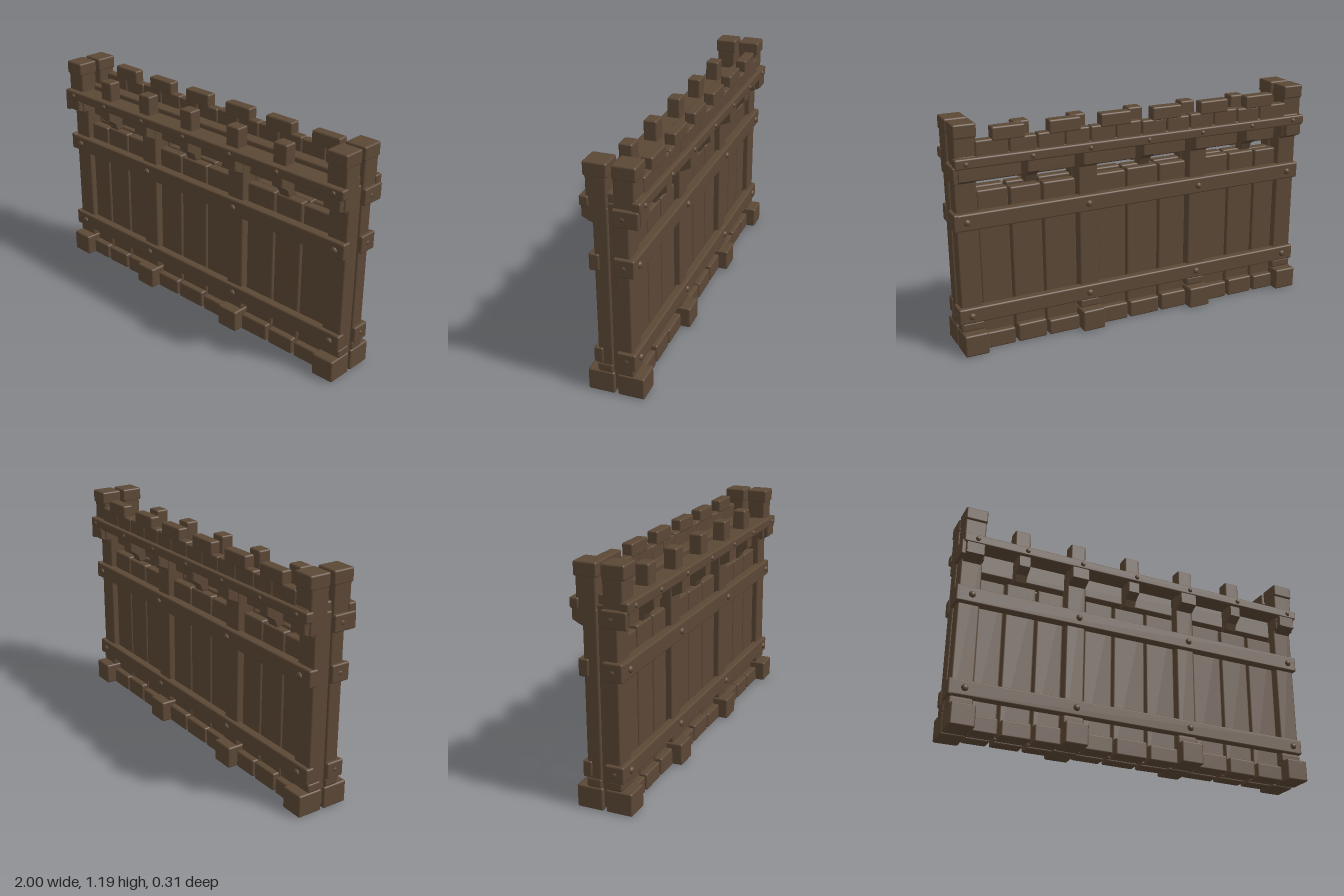
import * as THREE from 'three';
import { RoundedBoxGeometry } from 'three/addons/geometries/RoundedBoxGeometry.js';

const wood = new THREE.MeshStandardMaterial({ color: 0x5c4836 });
wood.name = 'brown wood';

const MID = -0.005; // plane between the two faces of the wall
const POSTS = [-0.925, -0.355, 0.285, 0.925];
const BRACKETS = [-0.66, -0.04, 0.59];

// small seeded generator for hand-cut irregularity
let seed = 7;
function rand(amount) {
  seed = (seed * 16807) % 2147483647;
  return (seed / 2147483647 - 0.5) * 2 * amount;
}

// softened timber given by its limits on each axis
function timber(parent, name, x0, x1, y0, y1, z0, z1, tilt = 0) {
  const w = x1 - x0, h = y1 - y0, d = Math.abs(z1 - z0);
  const r = Math.min(0.009, w * 0.3, h * 0.3, d * 0.3);
  const mesh = new THREE.Mesh(new RoundedBoxGeometry(w, h, d, 2, r), wood);
  mesh.position.set((x0 + x1) / 2, (y0 + y1) / 2, (z0 + z1) / 2);
  mesh.rotation.z = rand(tilt);
  mesh.name = name;
  parent.add(mesh);
  return mesh;
}

// bracket with a sloping underside, side = 1 front, -1 back
function bracket(parent, name, x, width, profile, side) {
  const shape = new THREE.Shape(profile.map(([d, y]) => new THREE.Vector2(d, y)));
  const geo = new THREE.ExtrudeGeometry(shape, {
    depth: width - 0.008, bevelEnabled: true, bevelThickness: 0.004,
    bevelSize: 0.004, bevelOffset: -0.004, bevelSegments: 1,
  });
  geo.translate(0, 0, -(width - 0.008) / 2);
  geo.rotateY(-side * Math.PI / 2);
  const mesh = new THREE.Mesh(geo, wood);
  mesh.position.set(x, 0, MID);
  mesh.name = name;
  parent.add(mesh);
}

function bolt(parent, x, y, z, radius, side) {
  const geo = new THREE.SphereGeometry(radius, 12, 6, 0, Math.PI * 2, 0, Math.PI / 2);
  geo.rotateX(side * Math.PI / 2);
  const mesh = new THREE.Mesh(geo, wood);
  mesh.position.set(x, y, z);
  mesh.scale.z = 0.8;
  mesh.name = 'bolt';
  parent.add(mesh);
}

// one face of the wall
function wallFace(side) {
  const face = new THREE.Group();
  face.name = side > 0 ? 'frontFace' : 'backFace';
  const at = (d) => MID + side * d;
  const add = (name, x0, x1, y0, y1, d0, d1, tilt) =>
    timber(face, name, x0, x1, y0, y1, at(d0), at(d1), tilt);

  // upright planks in three bays, each with a foot block
  const edges = [
    [-0.868, -0.736], [-0.726, -0.568], [-0.558, -0.415],
    [-0.295, -0.137], [-0.127, 0.052], [0.062, 0.228],
    [0.345, 0.52], [0.53, 0.692], [0.702, 0.862],
  ];
  for (const [x0, x1] of edges) {
    add('plank', x0, x1, 0.01, 0.832 + rand(0.007), 0.008, 0.058, 0.003);
    add('footBlock', x0 + 0.003, x1 - 0.003, 0, 0.088 + rand(0.008), 0.02, 0.092, 0.012);
  }

  // posts with wide feet and corbels
  POSTS.forEach((x, i) => {
    const end = i === 0 || i === 3;
    const w = end ? 0.056 : 0.052;
    add('post', x - w, x + w, 0.05, 0.98, 0.013, 0.086);
    add('postFoot', x - 0.062, x + 0.062, 0, 0.115, 0.008, 0.142, 0.01);
    add('postCollar', x - w - 0.004, x + w + 0.004, 0.115, 0.16, 0.015, 0.091);
    bracket(face, 'corbel', x, 0.096,
      [[0.06, 0.875], [0.09, 0.89], [0.142, 0.915], [0.142, 0.975], [0.06, 0.975]], side);
    if (end) {
      add('upperPost', x - 0.056, x + 0.056, 0.9, 1.13, 0.015, 0.115);
      add('postCap', x - 0.058, x + 0.058, 1.117, 1.187, 0.01, 0.125, 0.006);
    }
  });

  // smaller brackets between the posts
  for (const x of BRACKETS) {
    bracket(face, 'bracket', x, 0.064,
      [[0.02, 0.85], [0.07, 0.85], [0.085, 0.885], [0.128, 0.915], [0.128, 0.98], [0.02, 0.98]], side);
  }

  // long rails and their bolts
  const rails = [
    { y0: 0.162, y1: 0.245, d0: 0.06, d1: 0.107, r: 0.018, xs: POSTS },
    { y0: 0.655, y1: 0.742, d0: 0.06, d1: 0.112, r: 0.018, xs: POSTS },
    { y0: 0.972, y1: 1.024, d0: 0.1, d1: 0.145, r: 0.013, xs: [...POSTS, ...BRACKETS] },
  ];
  for (const { y0, y1, d0, d1, r, xs } of rails) {
    add('rail', -0.988, 0.988, y0, y1, d0, d1, 0.002);
    for (const x of xs) bolt(face, x + 0.008, (y0 + y1) / 2, at(d1 - 0.001), r, side);
  }

  // rail returns wrapped round one end post
  const ex = side > 0 ? -0.985 : 0.985;
  for (const [y0, y1, d1] of [[0.16, 0.246, 0.107], [0.653, 0.744, 0.112], [0.9, 0.985, 0.138]]) {
    add('railReturn', ex - 0.013, ex + 0.013, y0, y1, 0.012, d1);
    const stud = new THREE.Mesh(new THREE.SphereGeometry(0.012, 10, 6), wood);
    stud.position.set(ex - side * 0.011, (y0 + y1) / 2, at(0.06));
    stud.scale.x = 0.5;
    stud.name = 'stud';
    face.add(stud);
  }
  return face;
}

export function createModel() {
  const model = new THREE.Group();
  model.name = 'palisadeWall';
  model.add(wallFace(1), wallFace(-1));

  // filler strips joining the paired posts
  for (const x of POSTS) {
    timber(model, 'postCore', x - 0.045, x + 0.045, 0.015, 1.0, MID - 0.02, MID + 0.02);
  }

  // beam and lengthwise boards of the walkway
  timber(model, 'walkwayBeam', -0.88, 0.88, 0.872, 0.985, -0.04, 0.03);
  timber(model, 'walkwayBoard', -0.965, 0.965, 0.975, 1.028, -0.128, -0.078);
  timber(model, 'walkwayBoard', -0.965, 0.965, 0.975, 1.028, -0.08, -0.021);
  timber(model, 'walkwayBoard', -0.965, 0.965, 0.98, 1.045, -0.02, 0.022);
  timber(model, 'walkwayBoard', -0.965, 0.965, 0.975, 1.024, 0.025, 0.112);

  // short stakes along the front edge
  for (const x of [-0.67, -0.36, -0.045, 0.28, 0.585]) {
    timber(model, 'stake', x - 0.042, x + 0.042, 1.0, 1.128, 0.035, 0.105, 0.015);
  }

  // parapet at the back: a low course with raised blocks on top
  const cuts = [-0.88, -0.71, -0.57, -0.425, -0.28, -0.145, 0, 0.145, 0.285, 0.42, 0.565, 0.71, 0.88];
  for (let i = 0; i < cuts.length - 1; i++) {
    timber(model, 'parapetBlock', cuts[i] + 0.002, cuts[i + 1] - 0.002,
      1.015, 1.098 + rand(0.004), -0.128, -0.078, 0.01);
  }
  for (const x of [-0.705, -0.425, -0.145, 0.145, 0.42, 0.71]) {
    timber(model, 'merlon', x - 0.084, x + 0.084, 1.088, 1.158, -0.132, -0.074, 0.01);
  }
  return model;
}
